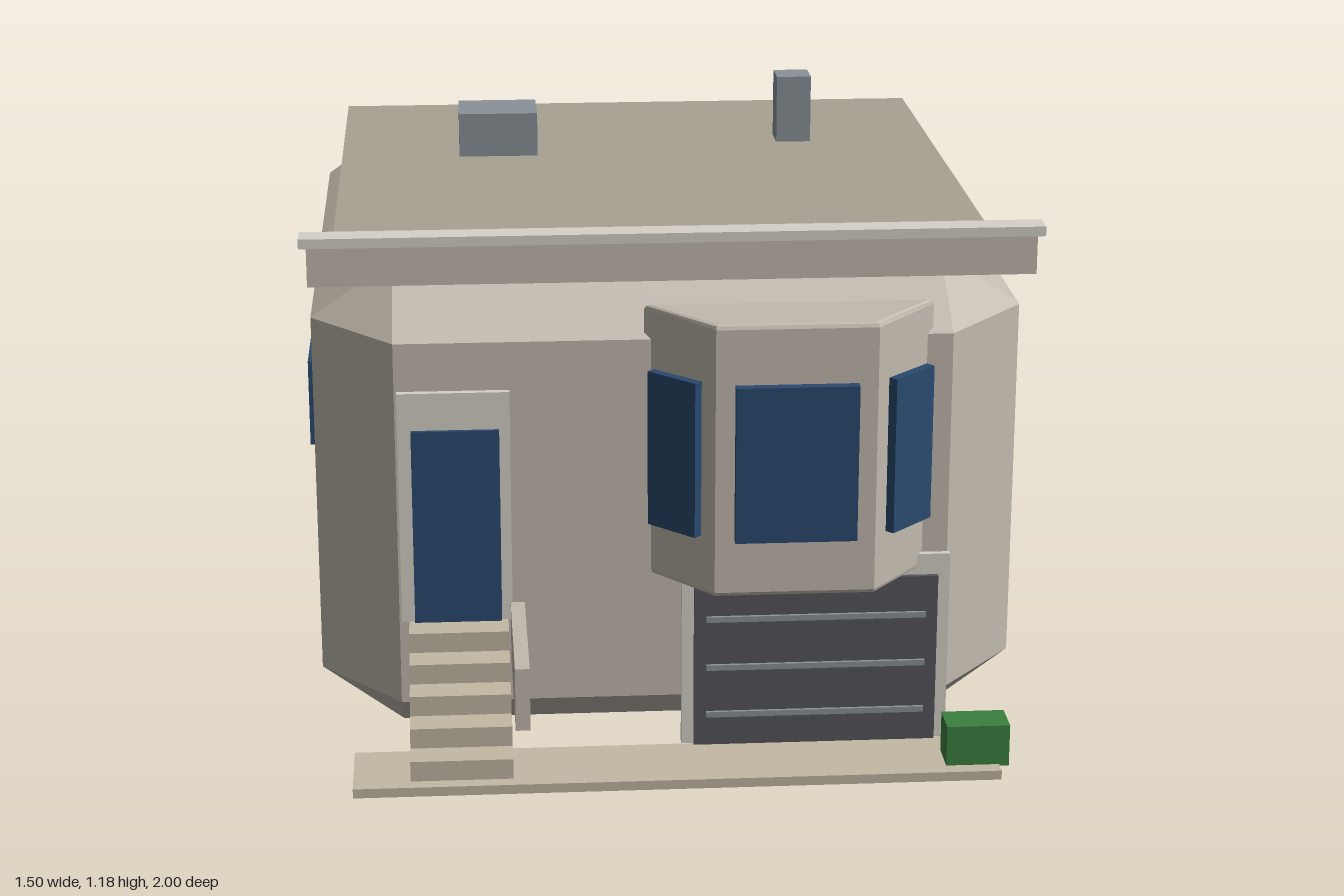
import * as THREE from 'three';
import { ConvexGeometry } from 'three/addons/geometries/ConvexGeometry.js';

const paint = (color) => new THREE.MeshStandardMaterial({ color, flatShading: true });

export function createModel() {
  const model = new THREE.Group();
  model.name = 'house';

  const wall = paint(0xc2baae), roofing = paint(0xa8a294), trim = paint(0xd6d2c8);
  const glass = paint(0x2a4a70), stone = paint(0xc2b8a4), metal = paint(0x8a9198);
  const dark = paint(0x56545a), leaf = paint(0x3c8040);

  const add = (name, geometry, material) => {
    const mesh = new THREE.Mesh(geometry, material);
    mesh.name = name;
    model.add(mesh);
    return mesh;
  };
  // Box given by its low and high limits on each axis
  const box = (name, material, x0, x1, y0, y1, z0, z1) => {
    const mesh = add(name, new THREE.BoxGeometry(x1 - x0, y1 - y0, z1 - z0), material);
    mesh.position.set((x0 + x1) / 2, (y0 + y1) / 2, (z0 + z1) / 2);
    return mesh;
  };

  // Body: a box with every edge and corner chamfered
  const points = [];
  for (const sx of [-1, 1]) {
    for (const [yEnd, ySide] of [[0, 0.125], [1.02, 0.9]]) {
      for (const [zOut, zIn] of [[0.64, 0.44], [-1, -0.8]]) {
        points.push(
          new THREE.Vector3(sx * 0.735, ySide, zIn),
          new THREE.Vector3(sx * 0.565, ySide, zOut),
          new THREE.Vector3(sx * 0.565, yEnd, zIn)
        );
      }
    }
  }
  add('body', new ConvexGeometry(points), wall);

  // Roof, parapet and rooftop units
  box('roof', roofing, -0.69, 0.69, 1.02, 1.03, -0.955, 0.6);
  box('parapet', wall, -0.73, 0.73, 1.02, 1.1, 0.595, 0.635);
  box('parapetCap', trim, -0.745, 0.745, 1.1, 1.12, 0.585, 0.642);
  box('roofUnit', metal, -0.42, -0.24, 1.03, 1.13, -0.55, -0.405);
  box('chimney', metal, 0.325, 0.405, 1.03, 1.185, -0.585, -0.505);

  // Side windows
  for (const sx of [-1, 1]) {
    for (const z of [0.115, -0.54]) {
      const pane = box('sideWindow', glass, -0.01, 0.01, 0.575, 0.76, z - 0.18, z + 0.18);
      pane.position.x = sx * 0.741;
    }
  }

  // Bay window: bevelled trapezoid plan extruded upwards
  const bevel = 0.01, bayX = 0.2325;
  const plan = new THREE.Shape([
    new THREE.Vector2(-0.28, -0.63), new THREE.Vector2(0.28, -0.63),
    new THREE.Vector2(0.157, -0.773), new THREE.Vector2(-0.157, -0.773)
  ].reverse());
  const bayGeometry = new THREE.ExtrudeGeometry(plan, {
    depth: 0.572 - 2 * bevel, bevelEnabled: true, bevelSize: bevel,
    bevelThickness: bevel, bevelSegments: 2
  });
  bayGeometry.rotateX(-Math.PI / 2);
  add('bay', bayGeometry, wall).position.set(bayX, 0.397 + bevel, 0);
  box('bayWindow', glass, 0.11, 0.355, 0.52, 0.845, 0.78, 0.805);
  for (const sx of [-1, 1]) {
    const pane = add('baySideWindow', new THREE.BoxGeometry(0.125, 0.325, 0.02), glass);
    pane.position.set(bayX + sx * 0.238, 0.6825, 0.715);
    pane.rotation.y = sx * Math.PI / 4;
  }

  // Garage door with ribs
  box('garageFrame', trim, 0.015, 0.57, 0.02, 0.43, 0.635, 0.653);
  box('garageDoor', dark, 0.04, 0.545, 0.02, 0.385, 0.645, 0.663);
  for (const y of [0.09, 0.195, 0.302]) {
    box('garageRib', metal, 0.065, 0.52, y - 0.006, y + 0.006, 0.66, 0.67);
  }

  // Front door
  box('doorFrame', trim, -0.56, -0.333, 0.31, 0.8, 0.635, 0.655);
  box('door', glass, -0.533, -0.355, 0.31, 0.722, 0.645, 0.664);

  // Floating steps and side rail
  for (let i = 0; i < 5; i++) {
    const y = 0.102 + i * 0.0417, z = 0.977 - i * 0.0635;
    box('step', stone, -0.545, -0.342, y, y + 0.0417, z - 0.08, z);
  }
  box('stairRail', wall, -0.337, -0.308, 0.215, 0.345, 0.65, 1);

  // Pavement and hedge
  box('pavement', stone, -0.665, 0.66, 0, 0.02, 0.655, 0.832);
  box('hedge', leaf, 0.55, 0.68, 0.016, 0.106, 0.722, 0.8);

  return model;
}
